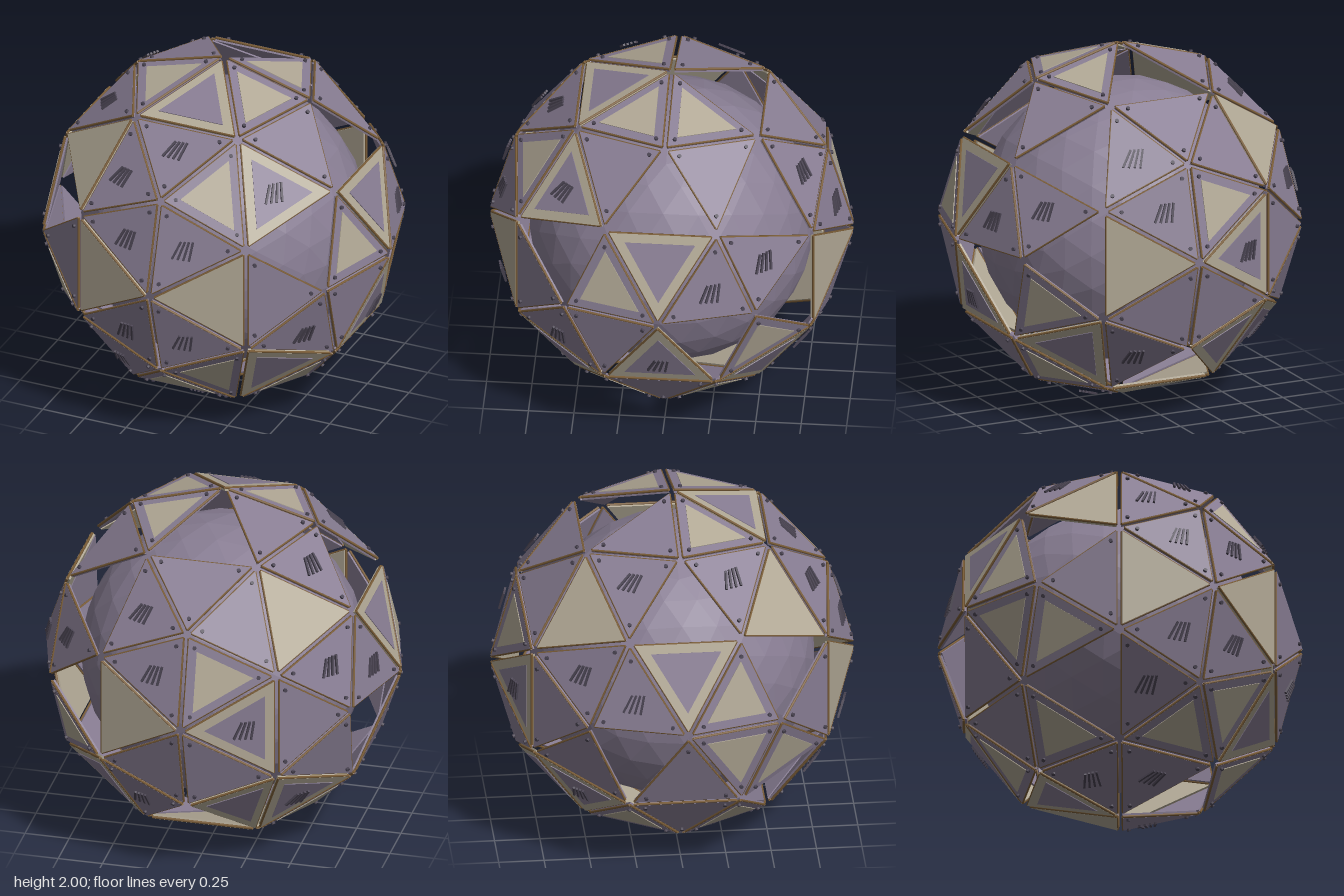
import * as THREE from 'three';

const mat = (name, color) => Object.assign(new THREE.MeshStandardMaterial({ color }), { name });
const purple = mat('dusty purple', 0x897e94);
const tan = mat('warm tan', 0xb2a996);
const brown = mat('brown trim', 0x7c5e38);
const dark = mat('dark fittings', 0x4b4553);

// Panel codes: . open, p plain, v vented, b tan inset, c purple inset, d purple inset with vents, t all tan
// Per octant: the three corner panels (P, Q, R), then the centre one
const OCTANTS = {
  '+++': 'bp.d', '++-': 'vpv.', '+-+': 'bbvc', '+--': 'vbbc',
  '-++': 'vv.t', '-+-': 'pvvt', '--+': 'vbb.', '---': 'cbpd',
};
// Per axis, side of the axis and side of the third corner: end +, end -, third corner, centre
const EDGES = {
  'x++': 'bv.c', 'x+-': 'p.pd', 'x-+': 'bv.c', 'x--': 'b.pp',
  'y++': 'bbvc', 'y+-': 'bpp.', 'y-+': '.vbv', 'y--': 'vc.t',
  'z++': 'vvpt', 'z+-': 'vvpt', 'z-+': 'vp.t', 'z--': 'bppd',
};

const RADIUS = 1.01, THICK = 0.026;
const A = 0.5257, B = 0.8507;
const boltGeo = new THREE.CylinderGeometry(0.011, 0.011, 0.014, 8).rotateX(Math.PI / 2);
const slatGeo = new THREE.BoxGeometry(0.012, 0.11, 0.012);

function add(parent, geometry, material, name) {
  const mesh = new THREE.Mesh(geometry, material);
  mesh.name = name;
  parent.add(mesh);
  return mesh;
}

const plate = (pts, k, depth) => new THREE.ExtrudeGeometry(
  new THREE.Shape(pts.map((p) => p.clone().multiplyScalar(k))), { depth, bevelEnabled: false });

// One triangular armour panel, built flat and set on the sphere
function makePanel(corners, code) {
  const panel = new THREE.Group();
  panel.name = 'armourPanel';
  const pts3 = corners.map((c) => c.clone().multiplyScalar(RADIUS));
  const centre = pts3[0].clone().add(pts3[1]).add(pts3[2]).divideScalar(3);
  const n = pts3[1].clone().sub(pts3[0]).cross(pts3[2].clone().sub(pts3[0])).normalize();
  if (n.dot(centre) < 0) n.negate();
  const xAxis = new THREE.Vector3(0, 1, 0).cross(n).normalize();
  const yAxis = n.clone().cross(xAxis);
  const pts = pts3.map((p) => {
    const d = p.clone().sub(centre);
    return new THREE.Vector2(d.dot(xAxis), d.dot(yAxis)).multiplyScalar(0.9);
  });

  // Base plate and inset face
  const tanBase = 'cdt'.includes(code);
  add(panel, plate(pts, 1, THICK), tanBase ? tan : purple, 'panelPlate').position.z = -THICK;
  if ('bcd'.includes(code)) {
    add(panel, plate(pts, 0.69, 0.004), code === 'b' ? tan : purple, 'panelInset');
  }

  // Trim rods along the edges
  pts.forEach((p, i) => {
    const q = pts[(i + 1) % 3];
    const rod = add(panel, new THREE.CylinderGeometry(0.0075, 0.0075, p.distanceTo(q), 6), brown, 'edgeTrim');
    rod.position.set((p.x + q.x) / 2, (p.y + q.y) / 2, -0.008);
    rod.rotation.z = Math.atan2(q.y - p.y, q.x - p.x) - Math.PI / 2;
  });

  // Corner bolts
  if ('pvb'.includes(code)) {
    for (const p of pts) add(panel, boltGeo, dark, 'bolt').position.set(p.x * 0.78, p.y * 0.78, 0.006);
  }

  // Fan of raised vent slats
  if ('vd'.includes(code)) {
    for (let i = 0; i < 4; i++) {
      const slat = add(panel, slatGeo, dark, 'ventSlat');
      slat.position.set((i - 1.5) * 0.027, 0, 0.024);
      slat.rotation.z = -0.42 + i * 0.09;
    }
  }

  panel.applyMatrix4(new THREE.Matrix4().makeBasis(xAxis, yAxis, n).setPosition(centre));
  return panel;
}

// Split a large triangle into three corner panels and a centre one
function addFace(parent, a, b, c, codes) {
  const mid = (u, v) => u.clone().add(v).normalize();
  const ab = mid(a, b), bc = mid(b, c), ca = mid(c, a);
  [[a, ab, ca], [b, bc, ab], [c, ca, bc], [ab, bc, ca]].forEach((tri, i) => {
    if (codes[i] !== '.') parent.add(makePanel(tri, codes[i]));
  });
}

export function createModel() {
  const model = new THREE.Group();
  model.name = 'panelledSphere';
  const sphere = new THREE.Group();
  sphere.name = 'sphere';
  sphere.position.y = 1;
  model.add(sphere);

  // Faceted inner core
  const coreGeo = new THREE.IcosahedronGeometry(0.785, 4);
  coreGeo.computeVertexNormals();
  add(sphere, coreGeo, purple, 'core');

  // Faces in the eight octants
  const sign = (ch) => (ch === '+' ? 1 : -1);
  for (const [key, codes] of Object.entries(OCTANTS)) {
    const [x, y, z] = [...key].map(sign);
    addFace(sphere,
      new THREE.Vector3(0, y * A, z * B),
      new THREE.Vector3(x * A, y * B, 0),
      new THREE.Vector3(x * B, 0, z * A), codes);
  }

  // Faces straddling the axes
  for (const [key, codes] of Object.entries(EDGES)) {
    const k = 'xyz'.indexOf(key[0]), s = sign(key[1]), t = sign(key[2]);
    const endAxis = (k + 2) % 3, thirdAxis = (k + 1) % 3;
    const end = (e) => new THREE.Vector3().setComponent(k, s * B).setComponent(endAxis, e * A);
    const third = new THREE.Vector3().setComponent(k, s * A).setComponent(thirdAxis, t * B);
    addFace(sphere, end(1), end(-1), third, codes);
  }
  return model;
}
